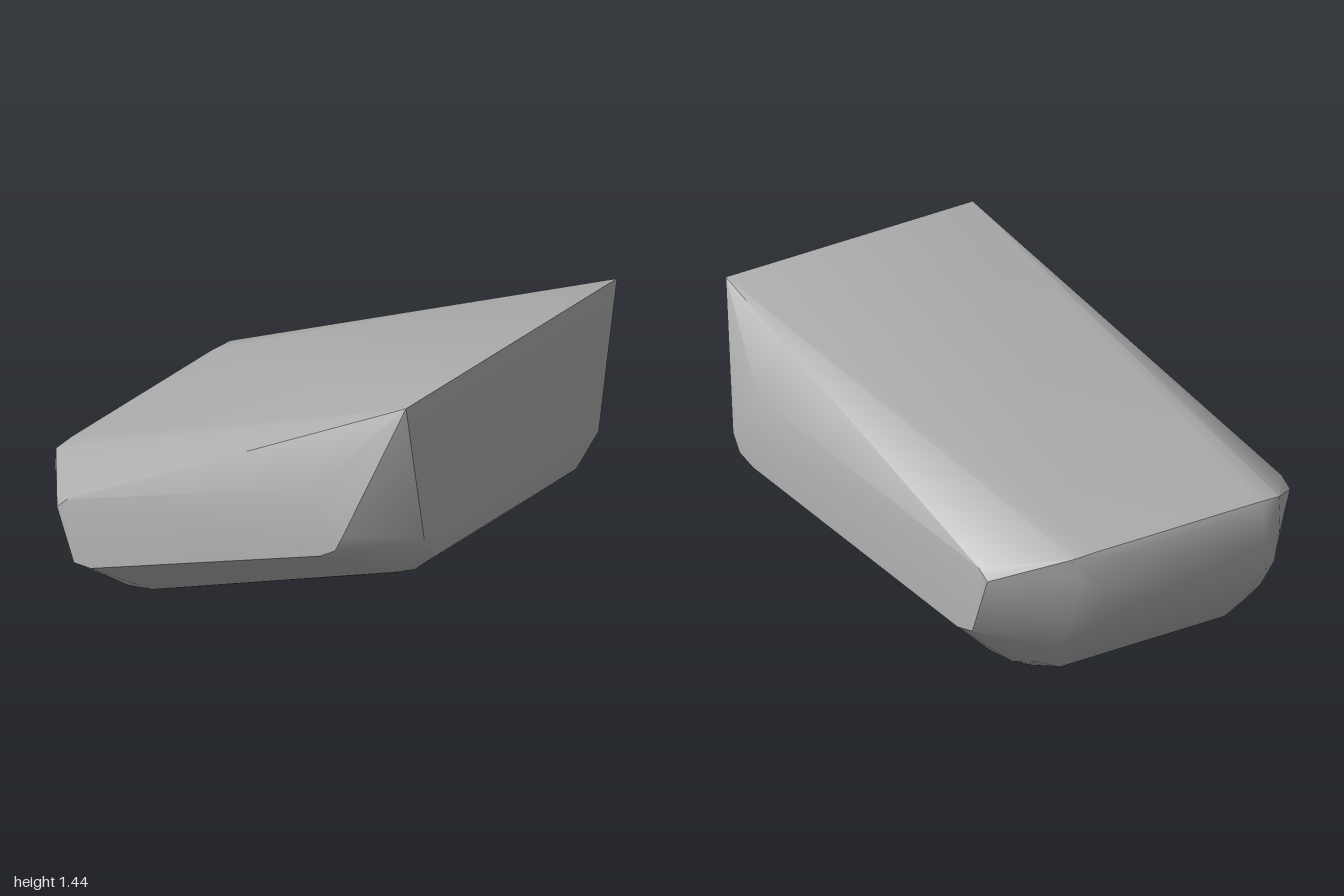
import * as THREE from 'three';
import { ConvexGeometry } from 'three/addons/geometries/ConvexGeometry.js';
import { toCreasedNormals } from 'three/addons/utils/BufferGeometryUtils.js';

// Lengthwise outlines [z, y] of the slanted stone, one for each distance from the middle
const sections = [
  // broad middle: upright front, sloping belly, rounded tail
  { x: 0.5, outline: [[1, 0.75], [0.97, 0.62], [0.86, 0.52], [0.78, 0.48], [-0.45, 0.02], [-0.58, 0],
    [-0.75, 0.03], [-0.88, 0.14], [-0.97, 0.27], [-1, 0.42], [-0.98, 0.56], [-0.965, 0.59]] },
  // shoulder, slightly drawn in
  { x: 0.62, outline: [[1, 0.76], [0.93, 0.63], [0.84, 0.55], [0.76, 0.52], [-0.45, 0.065], [-0.58, 0.045],
    [-0.73, 0.075], [-0.85, 0.17], [-0.93, 0.29], [-0.96, 0.42], [-0.965, 0.51], [-0.96, 0.585]] },
  // flat flank
  { x: 0.92, outline: [[0.64, 1.02], [0.79, 0.83], [0.75, 0.75], [0.67, 0.7], [-0.55, 0.26],
    [-0.64, 0.26], [-0.73, 0.5], [-0.68, 0.55]] },
  // raised front corner
  { x: 0.75, outline: [[1, 1.44]] },
];

export function createModel() {
  const group = new THREE.Group();
  group.name = 'rock';

  // mirror every outline point and wrap the whole in one convex skin
  const points = [];
  for (const { x, outline } of sections)
    for (const [z, y] of outline)
      for (const side of [-1, 1]) points.push(new THREE.Vector3(side * x, y, z));

  const stone = new THREE.MeshStandardMaterial({ color: 0xb0b0b0 });
  stone.name = 'stone grey';
  const geometry = toCreasedNormals(new ConvexGeometry(points), THREE.MathUtils.degToRad(32));
  const body = new THREE.Mesh(geometry, stone);
  body.name = 'stoneBody';
  group.add(body);
  return group;
}
